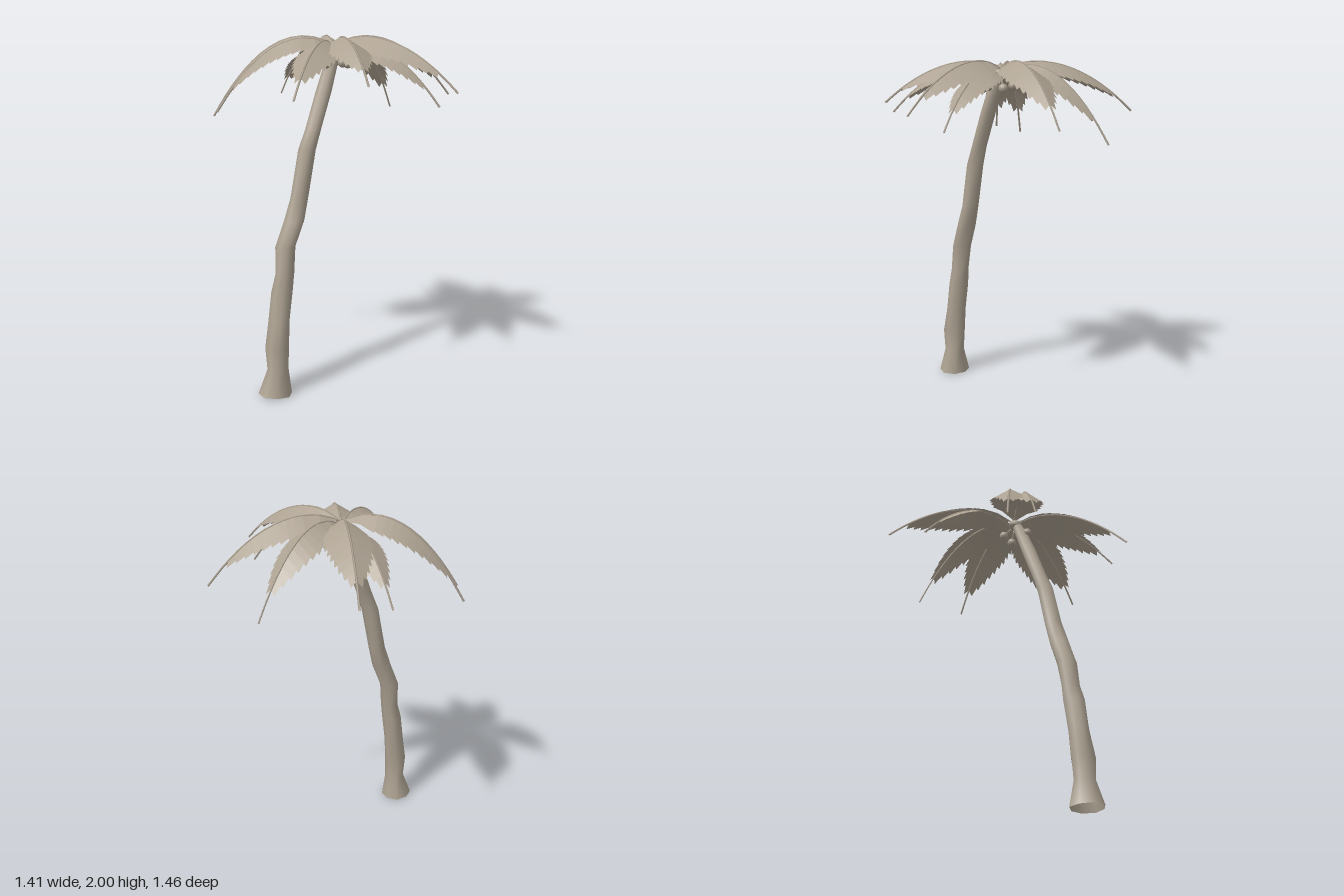
import * as THREE from 'three';

const bark = new THREE.MeshStandardMaterial({ color: 0xaea393, side: THREE.DoubleSide });
bark.name = 'warm grey';

const ROOT = new THREE.Vector3(-0.06, 1.95, 0.05);

// Leaning trunk: horizontal rings of [x, y, z, radius]
const TRUNK = [
  [-0.505, 0.005, 0.24, 0.095], [-0.49, 0.15, 0.238, 0.06], [-0.488, 0.28, 0.235, 0.068],
  [-0.47, 0.43, 0.228, 0.06], [-0.45, 0.6, 0.218, 0.06], [-0.43, 0.7, 0.21, 0.053],
  [-0.417, 0.85, 0.198, 0.057], [-0.36, 0.99, 0.188, 0.057], [-0.325, 1.12, 0.172, 0.05],
  [-0.27, 1.38, 0.152, 0.05], [-0.222, 1.5, 0.14, 0.045], [-0.15, 1.7, 0.11, 0.045],
  [-0.09, 1.87, 0.08, 0.038], [-0.07, 1.94, 0.06, 0.03],
];

function trunkGeometry(sides = 8) {
  const pos = [], index = [];
  TRUNK.forEach(([x, y, z, r], i) => {
    for (let k = 0; k < sides; k++) {
      const a = (k / sides) * Math.PI * 2 + 0.2;
      const rr = r * (1 + 0.05 * Math.sin(k * 2.3 + i * 1.7));
      // the foot is cut slightly askew
      const tilt = i === 0 ? -0.005 * Math.cos(a) : 0;
      pos.push(x + Math.cos(a) * rr, y + tilt, z + Math.sin(a) * rr);
    }
  });
  for (let i = 0; i < TRUNK.length - 1; i++) {
    for (let k = 0; k < sides; k++) {
      const a = i * sides + k, b = i * sides + (k + 1) % sides;
      index.push(a, a + sides, b, b, a + sides, b + sides);
    }
  }
  const g = new THREE.BufferGeometry();
  g.setAttribute('position', new THREE.Float32BufferAttribute(pos, 3));
  g.setIndex(index);
  g.computeVertexNormals();
  return g;
}

// Piecewise linear half-width of a blade along the rib
const WIDTHS = [[0.04, 0.01], [0.3, 0.125], [0.47, 0.128], [0.6, 0.105], [0.74, 0.068], [0.85, 0.022]];
function halfWidth(t) {
  for (let i = 1; i < WIDTHS.length; i++) {
    const [t0, w0] = WIDTHS[i - 1], [t1, w1] = WIDTHS[i];
    if (t <= t1) return w0 + (w1 - w0) * (t - t0) / (t1 - t0);
  }
  return WIDTHS[WIDTHS.length - 1][1];
}

// Point on an arching rib, from the crown (t = 0) to the tip (t = 1)
function ribPoint(tip, apex, t) {
  const p = ROOT.clone().lerp(tip, t);
  p.y = t < 0.25
    ? apex - 0.05 * (1 - t / 0.25) ** 2
    : apex - (apex - tip.y) * ((t - 0.25) / 0.75) ** 2;
  return p;
}

// Folded blade with saw-toothed edges on both sides of the rib
function bladeGeometry(tip, apex, size) {
  const pos = [];
  const across = new THREE.Vector3(-(tip.z - ROOT.z), 0, tip.x - ROOT.x).normalize();
  const edge = (t, w, side) => {
    const p = ribPoint(tip, apex, t).addScaledVector(across, side * w);
    p.y -= w * 0.6;
    return p;
  };
  const stops = [0.04, 0.17, 0.3];
  for (let i = 1; i <= 9; i++) stops.push(0.3 + i * 0.061);
  for (const side of [-1, 1]) {
    for (let i = 0; i < stops.length - 1; i++) {
      const t0 = stops[i], t1 = stops[i + 1];
      const toothed = i >= 2;
      const a = ribPoint(tip, apex, t0), b = ribPoint(tip, apex, t1);
      const c = edge(t0, halfWidth(t0) * size * (toothed ? 0.9 : 1), side);
      const d = edge(t1 + (toothed ? 0.015 : 0), (halfWidth(t1) + (toothed ? 0.008 : 0)) * size, side);
      const quad = side > 0 ? [a, c, b, b, c, d] : [a, b, c, b, d, c];
      quad.forEach((p) => pos.push(p.x, p.y, p.z));
    }
  }
  const g = new THREE.BufferGeometry();
  g.setAttribute('position', new THREE.Float32BufferAttribute(pos, 3));
  g.computeVertexNormals();
  return g;
}

// Frond tips [x, y, z], top of the arch, blade size
const FRONDS = [
  [0.05, 1.71, -0.73, 2.0, 1.0],
  [0.49, 1.55, -0.37, 1.98, 0.95],
  [0.70, 1.65, 0.01, 2.0, 1.0],
  [0.36, 1.72, 0.71, 2.0, 1.0],
  [-0.15, 1.77, 0.72, 2.0, 0.9],
  [-0.50, 1.7, 0.60, 1.98, 0.95],
  [-0.70, 1.585, -0.13, 1.99, 0.95],
  [-0.68, 1.545, -0.29, 2.0, 0.95],
  [-0.17, 1.64, -0.58, 1.95, 0.85],
  [0.36, 1.63, 0.52, 1.95, 0.85],
];

// Coconut centres around the top of the trunk
const NUTS = [
  [-0.05, 1.855, 0.14], [0.01, 1.845, 0.07], [-0.02, 1.86, 0.0], [-0.13, 1.85, 0.11],
];

export function createModel() {
  const root = new THREE.Group();
  root.name = 'palmTree';
  const add = (parent, geometry, name) => {
    const mesh = new THREE.Mesh(geometry, bark);
    mesh.name = name;
    parent.add(mesh);
    return mesh;
  };

  add(root, trunkGeometry(), 'trunk');

  // Swollen crown where the fronds meet
  const crown = add(root, new THREE.SphereGeometry(0.045, 10, 6), 'crown');
  crown.position.set(-0.068, 1.925, 0.058);
  crown.scale.y = 0.7;

  // Fronds: folded blade plus a thin rib that runs past its end
  FRONDS.forEach(([x, y, z, apex, size]) => {
    const frond = new THREE.Group();
    frond.name = 'frond';
    root.add(frond);
    const tip = new THREE.Vector3(x, y, z);
    add(frond, bladeGeometry(tip, apex, size), 'frondBlade');
    const pts = [];
    for (let i = 0; i <= 10; i++) pts.push(ribPoint(tip, apex, i / 10));
    pts.forEach((p) => { p.y -= 0.003; });
    add(frond, new THREE.TubeGeometry(new THREE.CatmullRomCurve3(pts), 14, 0.006, 4), 'frondRib');
  });

  // Coconuts, each on a short stalk
  NUTS.forEach(([x, y, z]) => {
    const nut = new THREE.Vector3(x, y, z);
    add(root, new THREE.SphereGeometry(0.027, 10, 8), 'coconut').position.copy(nut);
    const stalk = new THREE.LineCurve3(nut, new THREE.Vector3(-0.068, 1.925, 0.058));
    add(root, new THREE.TubeGeometry(stalk, 1, 0.005, 4), 'coconutStalk');
  });

  return root;
}
